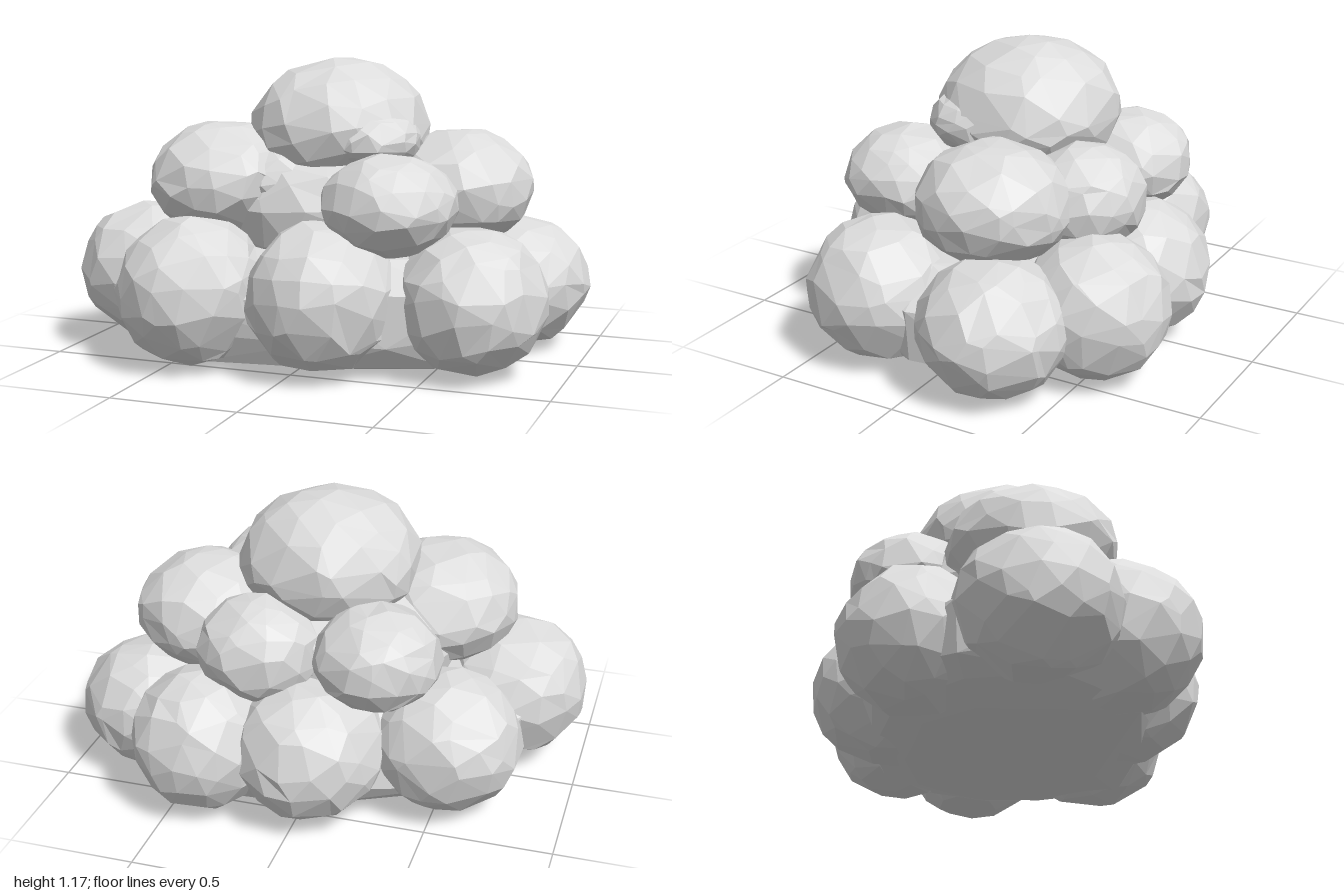
import * as THREE from 'three';
import { mergeVertices } from 'three/addons/utils/BufferGeometryUtils.js';
import { ConvexGeometry } from 'three/addons/geometries/ConvexGeometry.js';

// Small seeded generator, returns values in -1..1
function seeded(seed) {
  let s = seed;
  return () => {
    s = (s * 16807) % 2147483647;
    return (s / 2147483647) * 2 - 1;
  };
}

// Faceted, slightly irregular ball, flattened where it meets the base plane
function puffGeometry([x, y, z], [rx, ry, rz], seed) {
  const floor = 0.03;
  const rand = seeded(seed * 7919 + 13);
  let geo = new THREE.IcosahedronGeometry(1, 2);
  geo.deleteAttribute('normal');
  geo.deleteAttribute('uv');
  geo = mergeVertices(geo, 1e-3);
  geo.rotateX(seed * 1.3);
  geo.rotateY(seed * 2.1);
  const pos = geo.attributes.position;
  const v = new THREE.Vector3();
  for (let i = 0; i < pos.count; i++) {
    v.fromBufferAttribute(pos, i);
    v.x += rand() * 0.14;
    v.y += rand() * 0.14;
    v.z += rand() * 0.14;
    v.setLength(1.015 + rand() * 0.02);
    const py = y + v.y * ry;
    // soft flattening keeps the underside faceted
    const flatY = py < floor ? floor + (py - floor) * 0.3 : py;
    pos.setXYZ(i, x + v.x * rx, Math.max(0, flatY), z + v.z * rz);
  }
  geo = geo.toNonIndexed();
  geo.computeVertexNormals();
  return geo;
}

// Rough faceted mass through the creases between the base puffs, tapering to the underside
function baseCoreGeometry() {
  const rand = seeded(4021);
  const outline = [
    [-0.82, -0.06], [-0.80, 0.35], [-0.66, 0.48], [-0.42, 0.65], [-0.15, 0.63], [0.12, 0.62],
    [0.40, 0.53], [0.72, 0.45], [0.87, 0.04], [0.85, -0.30], [0.64, -0.48], [0.42, -0.66],
    [0.18, -0.65], [-0.05, -0.62], [-0.29, -0.52], [-0.60, -0.42],
  ];
  // Height, outline scale and height variation of each ring
  const rings = [
    [0.02, 0.62, 0.015], [0.06, 0.82, 0.02], [0.15, 0.94, 0.04],
    [0.31, 0.94, 0.04], [0.44, 0.75, 0.04],
  ];
  const points = rings.flatMap(([y, scale, vary]) => outline.map(([x, z]) => {
    const s = scale + rand() * 0.03;
    return new THREE.Vector3(x * s, y + rand() * vary, z * s);
  }));
  return new ConvexGeometry(points);
}

export function createModel() {
  const group = new THREE.Group();
  group.name = 'cloud';
  const cloudGrey = new THREE.MeshStandardMaterial({ color: 0xdcdcdc });
  cloudGrey.name = 'cloudGrey';

  // Each puff: centre, radii
  const layers = {
    basePuff: [
      [[-0.70, 0.32, 0.22], [0.30, 0.28, 0.31]],
      [[-0.41, 0.305, 0.49], [0.29, 0.29, 0.30]],
      [[0.11, 0.305, 0.44], [0.29, 0.29, 0.31]],
      [[0.64, 0.295, 0.27], [0.29, 0.28, 0.305]],
      [[0.69, 0.275, -0.25], [0.30, 0.26, 0.29]],
      [[0.39, 0.295, -0.51], [0.28, 0.28, 0.29]],
      [[-0.03, 0.295, -0.46], [0.30, 0.28, 0.31]],
      [[-0.52, 0.295, -0.26], [0.30, 0.28, 0.29]],
    ],
    middlePuff: [
      [[0.34, 0.65, 0.34], [0.26, 0.195, 0.26]],
      [[0.49, 0.67, -0.13], [0.29, 0.23, 0.30]],
      [[-0.40, 0.69, 0.16], [0.31, 0.24, 0.33]],
      [[-0.26, 0.65, -0.33], [0.25, 0.20, 0.25]],
      [[0.20, 0.64, -0.36], [0.245, 0.21, 0.24]],
    ],
    topPuff: [[[0.015, 0.90, -0.02], [0.355, 0.275, 0.355]]],
    // Small lumps tucked into the creases
    fillerPuff: [
      [[0.18, 0.87, 0.10], [0.20, 0.13, 0.21]],
      [[-0.15, 0.69, 0.17], [0.19, 0.16, 0.20]],
      [[0, 0.58, 0], [0.52, 0.30, 0.42]],
    ],
  };

  let seed = 1;
  for (const [name, puffs] of Object.entries(layers)) {
    const layer = new THREE.Group();
    layer.name = name + 's';
    puffs.forEach(([centre, radii], i) => {
      const mesh = new THREE.Mesh(puffGeometry(centre, radii, seed++), cloudGrey);
      mesh.name = name + (i + 1);
      layer.add(mesh);
    });
    group.add(layer);
  }

  const baseCore = new THREE.Mesh(baseCoreGeometry(), cloudGrey);
  baseCore.name = 'baseCore';
  group.add(baseCore);
  return group;
}
